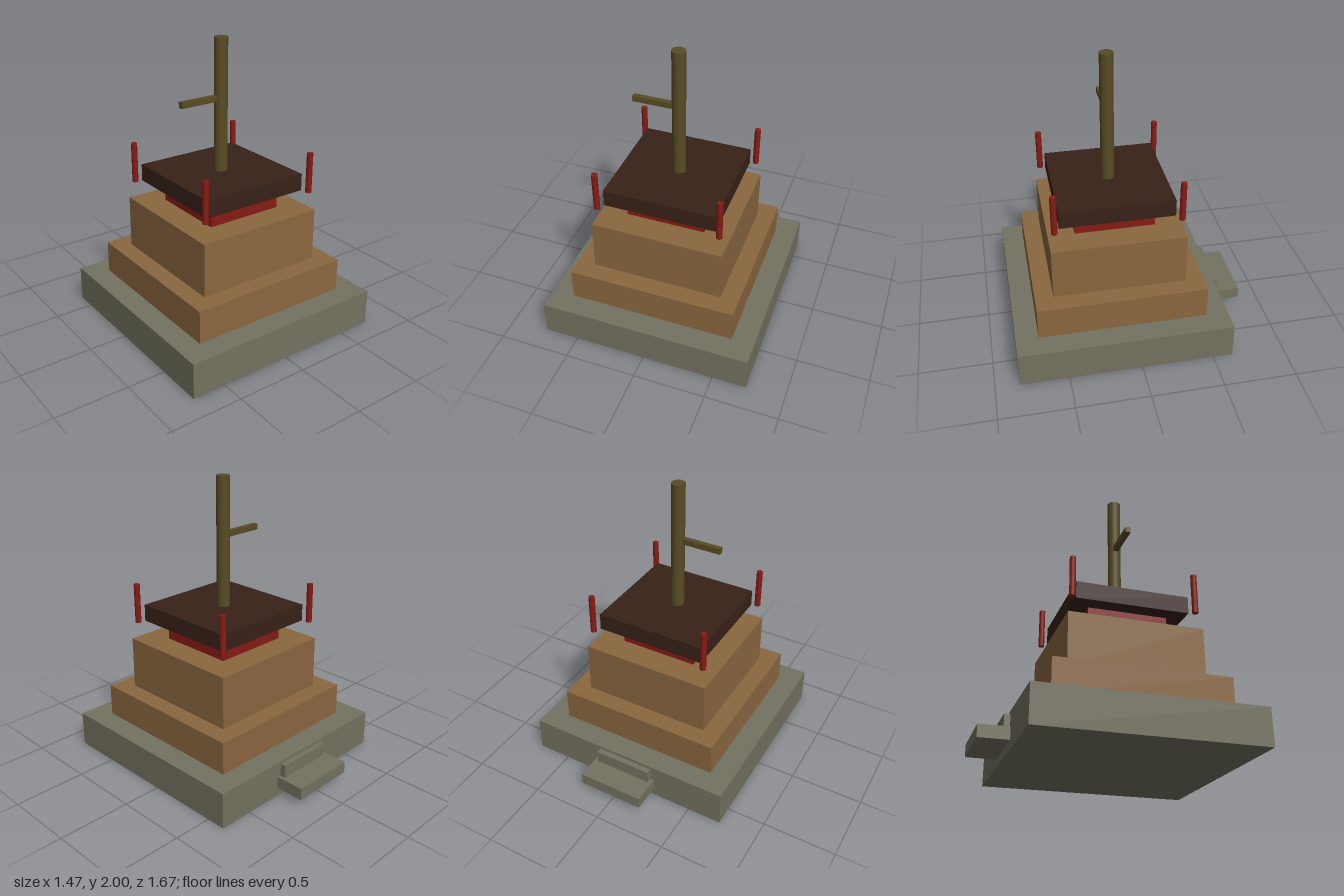
import * as THREE from 'three';

const material = (color) => new THREE.MeshStandardMaterial({ color });

export function createModel() {
  const model = new THREE.Group();
  const stone = material(0x747260);
  const wood = material(0x8b6740);
  const darkWood = material(0x382118);
  const red = material(0x871b14);
  const bronze = material(0x584c24);
  const axisZ = 0.1; // the tower stands forward of the centre, the steps lie behind it

  function add(name, geometry, mat, x, y, z) {
    const mesh = new THREE.Mesh(geometry, mat);
    mesh.name = name;
    mesh.position.set(x, y, z);
    model.add(mesh);
  }

  // Square stacked tiers: name, half width, bottom, top, material
  const tiers = [
    ['stoneBase', 0.735, 0, 0.25, stone],
    ['lowerTier', 0.58, 0.25, 0.478, wood],
    ['upperTier', 0.455, 0.478, 0.845, wood],
    ['neck', 0.273, 0.845, 0.98, red],
    ['roofSlab', 0.387, 0.98, 1.098, darkWood],
  ];
  for (const [name, half, y0, y1, mat] of tiers) {
    add(name, new THREE.BoxGeometry(half * 2, y1 - y0, half * 2), mat, 0, (y0 + y1) / 2, axisZ);
  }

  // Corner posts floating around the roof slab
  for (const sx of [-1, 1]) {
    for (const sz of [-1, 1]) {
      add('cornerPost', new THREE.CylinderGeometry(0.021, 0.021, 0.28, 16), red,
        sx * 0.421, 1.11, axisZ + sz * 0.421);
    }
  }

  // Mast with a side arm
  add('mast', new THREE.CylinderGeometry(0.046, 0.046, 0.902, 24), bronze, 0, 1.549, axisZ);
  add('mastArm', new THREE.BoxGeometry(0.315, 0.04, 0.036), bronze, -0.1575, 1.6, axisZ - 0.002);

  // Steps at the back
  add('lowerStep', new THREE.BoxGeometry(0.458, 0.083, 0.2), stone, 0, 0.1, -0.735);
  add('upperStep', new THREE.BoxGeometry(0.405, 0.088, 0.04), stone, 0, 0.185, -0.654);

  return model;
}
